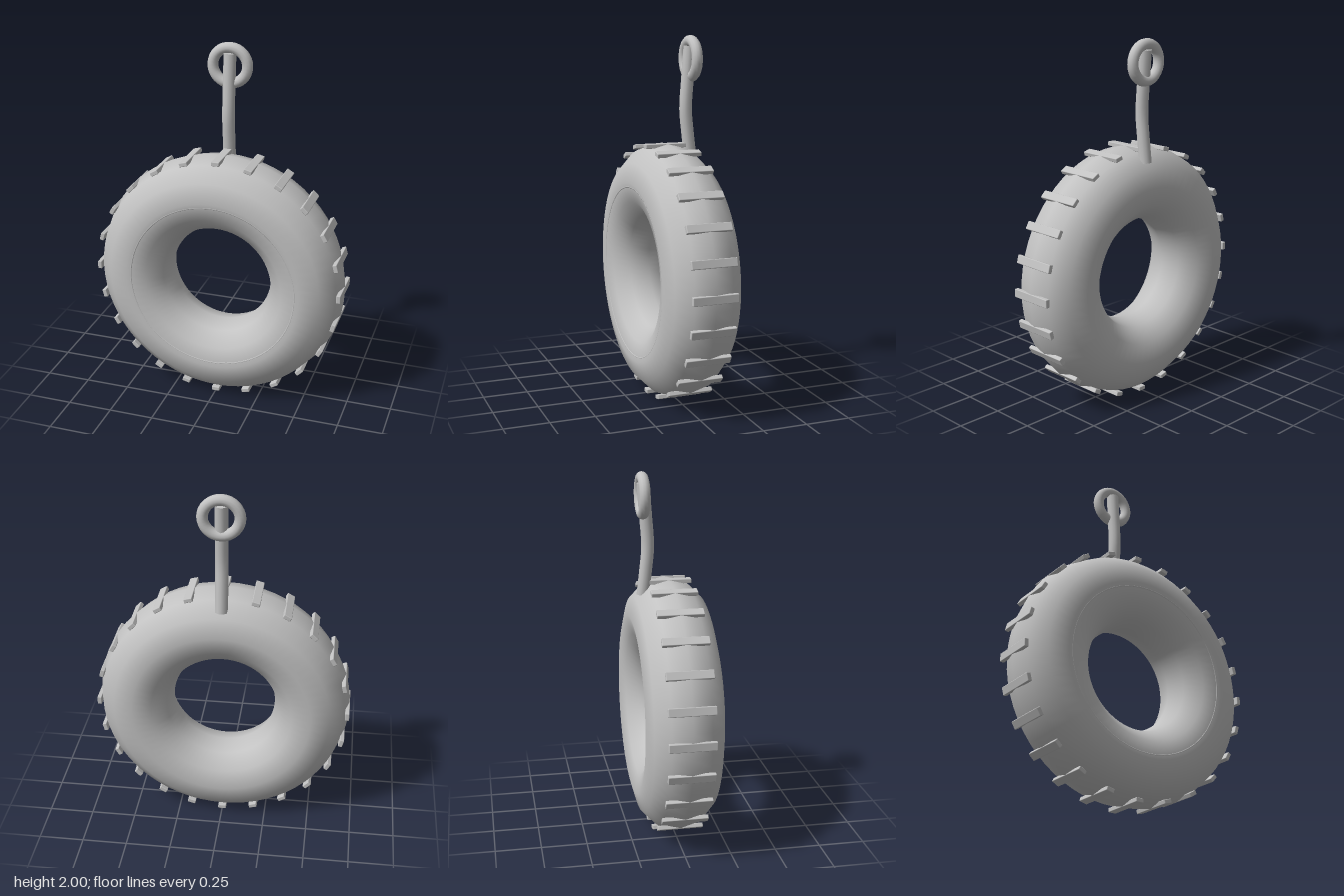
import * as THREE from 'three';
import { RoundedBoxGeometry } from 'three/addons/geometries/RoundedBoxGeometry.js';

export function createModel() {
  const group = new THREE.Group();
  const grey = new THREE.MeshStandardMaterial({ color: 0xc2c2c2 });
  grey.name = 'lightGrey';

  const add = (name, geometry, parent, x = 0, y = 0, z = 0) => {
    const mesh = new THREE.Mesh(geometry, grey);
    mesh.name = name;
    mesh.position.set(x, y, z);
    parent.add(mesh);
    return mesh;
  };

  // Tire, standing upright with its hole facing the front
  const tire = new THREE.Group();
  tire.name = 'tire';
  tire.position.y = 0.71;
  group.add(tire);
  add('tireBody', new THREE.TorusGeometry(0.496, 0.21, 12, 64), tire);
  add('sidewallRing', new THREE.TorusGeometry(0.472, 0.006, 8, 64), tire, 0, 0, 0.199);

  // Tread blocks around the rim, with softened edges
  const count = 24;
  const block = new RoundedBoxGeometry(0.024, 0.046, 0.25, 2, 0.004);
  for (let i = 0; i < count; i++) {
    const a = (i / count) * Math.PI * 2;
    const tread = add('treadBlock', block, tire, Math.cos(a) * 0.695, Math.sin(a) * 0.695, 0);
    tread.rotation.z = a;
  }

  // Rope, bent near its middle, rising from the back shoulder of the tire
  const points = [[1.335, -0.14], [1.47, -0.124], [1.6, -0.112], [1.76, -0.122], [1.94, -0.136]];
  const path = new THREE.CatmullRomCurve3(points.map(([y, z]) => new THREE.Vector3(0, y, z)));
  add('rope', new THREE.TubeGeometry(path, 16, 0.035, 12), group);

  // Flat caps on both rope ends
  for (const t of [0, 1]) {
    const p = path.getPoint(t);
    const cap = add('ropeEnd', new THREE.CircleGeometry(0.035, 12), group, p.x, p.y, p.z);
    const outward = path.getTangent(t).multiplyScalar(t ? 1 : -1);
    cap.quaternion.setFromUnitVectors(new THREE.Vector3(0, 0, 1), outward);
  }

  // Hanging ring
  add('hangingRing', new THREE.TorusGeometry(0.097, 0.03, 12, 32), group, 0, 1.873, -0.14);

  return group;
}
